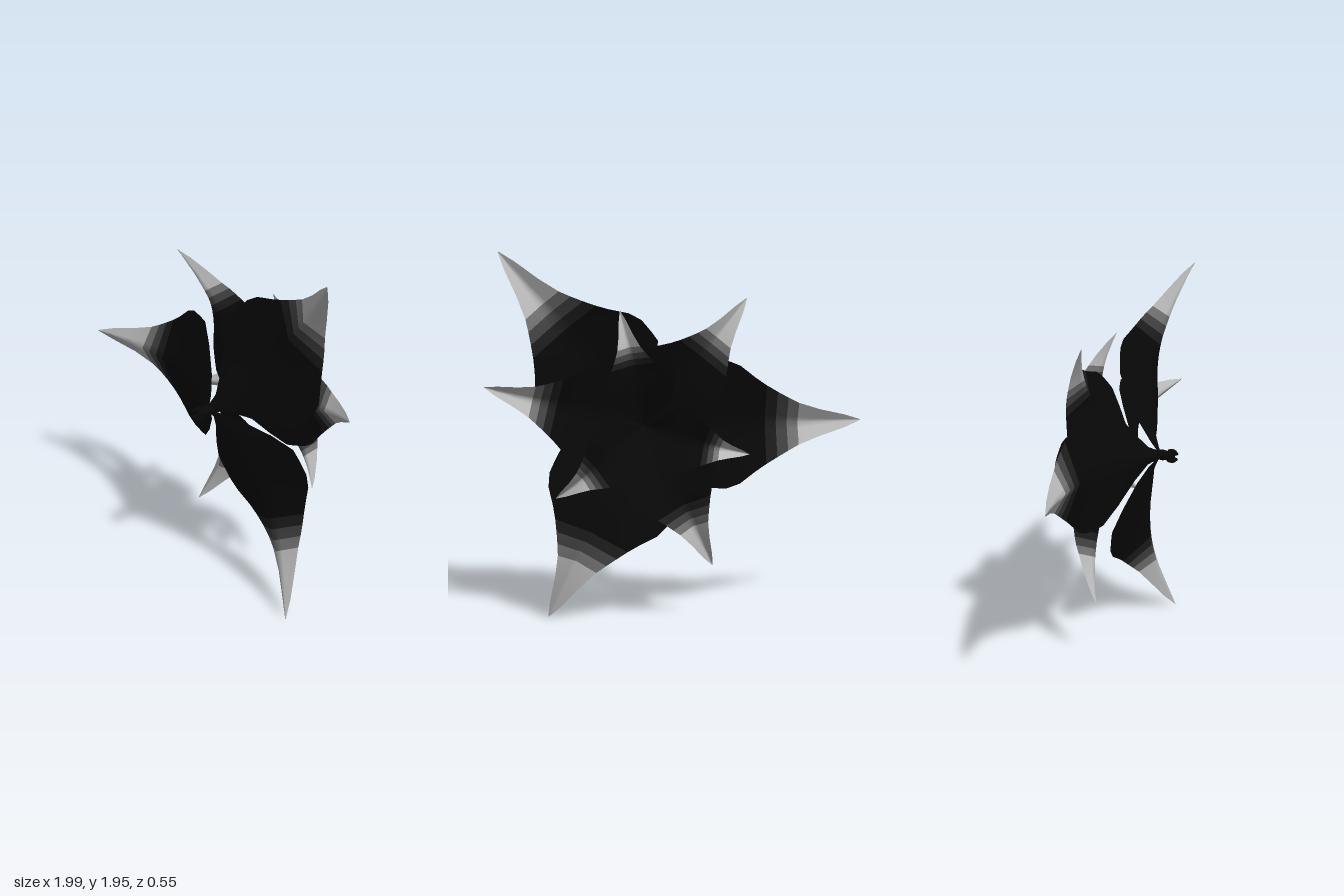
import * as THREE from 'three';

// Leaf rule: [fraction along leaf, half width on a full-size leaf, midrib z, edge z]
const PROFILE = [
  [0, 0.018, 0.185, 0.175], [0.04, 0.05, 0.155, 0.125], [0.09, 0.13, 0.125, 0.075], [0.17, 0.25, 0.09, 0.02],
  [0.25, 0.338, 0.06, -0.025], [0.3, 0.342, 0.045, -0.04], [0.37, 0.342, 0.02, -0.06], [0.43, 0.315, 0.01, -0.07],
  [0.5, 0.25, 0.005, -0.075], [0.55, 0.21, 0.005, -0.075], [0.6, 0.175, 0.005, -0.072], [0.65, 0.142, 0.008, -0.065],
  [0.7, 0.112, 0.012, -0.052], [0.8, 0.072, 0.025, -0.02], [0.92, 0.035, 0.05, 0.03], [1, 0.002, 0.07, 0.07],
];
const FULL_LENGTH = 1.17;
const ACROSS = 8;

const paint = (color) => new THREE.MeshStandardMaterial({ color, side: THREE.DoubleSide });
const BLACK = paint(0x080808);

// Dark blade fading to a pale tip: [part, first row, last row, material]
const BANDS = [
  ['blade', 0, 9, BLACK], ['darkFade', 9, 10, paint(0x1c1c1c)], ['middleFade', 10, 11, paint(0x404040)],
  ['paleFade', 11, 12, paint(0x707070)], ['tip', 12, PROFILE.length - 1, paint(0xb8b8b8)],
];

// A pointed leaf along +x, grooved along the midrib, its sides rising towards -z
function createLeaf(name, length) {
  const scale = length / FULL_LENGTH;
  const positions = new Float32Array(PROFILE.length * (ACROSS + 1) * 3);
  let p = 0;
  for (const [t, width, midrib, edge] of PROFILE) {
    for (let j = 0; j <= ACROSS; j++) {
      const s = (j / ACROSS) * 2 - 1;
      positions[p++] = t * length;
      positions[p++] = s * width * scale;
      positions[p++] = midrib + (edge - midrib) * Math.abs(s);
    }
  }
  const strip = (from, to) => {
    const index = [];
    for (let i = from; i < to; i++) {
      for (let j = 0; j < ACROSS; j++) {
        const a = i * (ACROSS + 1) + j, b = a + ACROSS + 1;
        index.push(a, b, a + 1, b, b + 1, a + 1);
      }
    }
    return index;
  };
  const whole = new THREE.BufferGeometry();
  whole.setAttribute('position', new THREE.BufferAttribute(positions, 3));
  whole.setIndex(strip(0, PROFILE.length - 1));
  whole.computeVertexNormals();

  // The bands share the same smooth normals
  const leaf = new THREE.Group();
  leaf.name = name;
  for (const [part, from, to, material] of BANDS) {
    const geometry = new THREE.BufferGeometry();
    geometry.setAttribute('position', whole.getAttribute('position'));
    geometry.setAttribute('normal', whole.getAttribute('normal'));
    geometry.setIndex(strip(from, to));
    const mesh = new THREE.Mesh(geometry, material);
    mesh.name = part;
    leaf.add(mesh);
  }
  return leaf;
}

// Short stem with a ring of stubby lobes at its end
function createStem() {
  const stem = new THREE.Group();
  stem.name = 'stem';
  const outline = [[0, 0.08], [0.018, 0.09], [0.022, 0.15], [0.03, 0.19], [0.024, 0.22], [0.03, 0.25], [0, 0.25]];
  const stalk = new THREE.Mesh(
    new THREE.LatheGeometry(outline.map(([r, y]) => new THREE.Vector2(r, y)), 10), BLACK);
  stalk.name = 'stalk';
  stalk.rotation.x = Math.PI / 2;
  stem.add(stalk);
  for (let i = 0; i < 5; i++) {
    const a = (i / 5) * Math.PI * 2 + 0.3;
    const lobe = new THREE.Mesh(new THREE.SphereGeometry(0.012, 8, 6), BLACK);
    lobe.name = 'stemLobe';
    lobe.scale.z = 2.2;
    lobe.position.set(Math.cos(a) * 0.026, Math.sin(a) * 0.026, 0.245);
    stem.add(lobe);
  }
  return stem;
}

export function createModel() {
  const flower = new THREE.Group();
  flower.name = 'flower';
  flower.position.set(0.16, 1.06, 0);

  // Three whorls, each smaller and further back: [angle in degrees, length]
  const whorls = [
    { name: 'largeLeaf', z: 0, leaves: [[180, 1.16], [50.2, 1.17], [-64, 1.17]] },
    { name: 'middleLeaf', z: -0.1, leaves: [[129, 0.85], [14, 0.855], [244.6, 0.84]] },
    { name: 'smallLeaf', z: -0.2, leaves: [[78, 0.62], [-38, 0.59], [195, 0.56]] },
  ];
  for (const { name, z, leaves } of whorls) {
    for (const [angle, length] of leaves) {
      const leaf = createLeaf(name, length);
      leaf.rotation.z = THREE.MathUtils.degToRad(angle);
      leaf.position.z = z;
      flower.add(leaf);
    }
  }
  flower.add(createStem());

  const model = new THREE.Group();
  model.name = 'starFlower';
  model.add(flower);
  return model;
}
